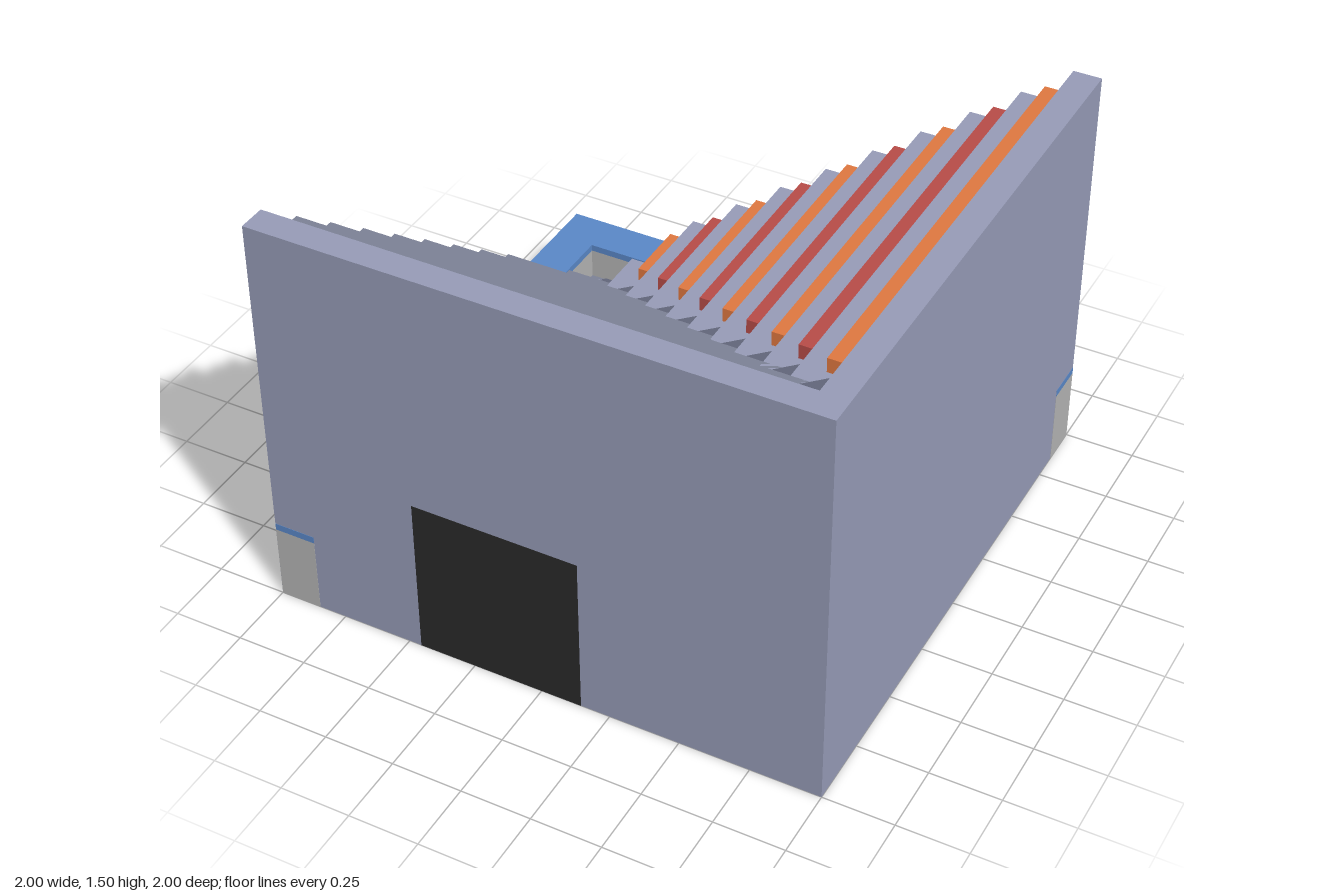
import * as THREE from 'three';

const mat = (color) => new THREE.MeshStandardMaterial({ color });

export function createModel() {
  const model = new THREE.Group();
  const light = mat(0x979cb8), shade = mat(0x7d8296), corner = mat(0x62667a);
  const orange = mat(0xe07840), red = mat(0xb84c48);
  const grey = mat(0xb4b4b4), blue = mat(0x5a88c8), dark = mat(0x2a2a2a);

  const add = (name, geometry, material) => {
    const mesh = new THREE.Mesh(geometry, material);
    mesh.name = name;
    model.add(mesh);
    return mesh;
  };
  // box given by its ranges on each axis
  const box = (name, material, x0, x1, y0, y1, z0, z1) =>
    add(name, new THREE.BoxGeometry(x1 - x0, y1 - y0, z1 - z0), material)
      .position.set((x0 + x1) / 2, (y0 + y1) / 2, (z0 + z1) / 2);

  const pitch = 0.1756, rise = 0.1333, rows = 11;
  const edge = (i) => 0.9 - pitch * i;           // riser behind row i (0 = highest)
  const tread = (i) => 1.5 - rise * (i + 1);

  // stepped profile shared by both stands
  const profile = new THREE.Shape();
  profile.moveTo(-1, 0);
  for (let i = rows - 1; i >= 0; i--) {
    profile.lineTo(Math.max(-1, edge(i + 1)), tread(i));
    profile.lineTo(edge(i), tread(i));
  }
  profile.lineTo(0.9, 0);
  profile.closePath();
  const stand = () => new THREE.ExtrudeGeometry(profile, { depth: 1.9, bevelEnabled: false });
  add('sideStand', stand().translate(0, 0, -1), light);
  add('frontStand', stand().rotateY(-Math.PI / 2).translate(0.9, 0, 0), shade);

  // outer walls
  box('sideWall', light, 0.9, 1, 0, 1.5, -1, 1);
  box('frontWall', light, -1, 0.9, 0, 1.5, 0.9, 1);

  // triangular landing at the inner corner of each row
  const triangle = new THREE.Shape([
    new THREE.Vector2(0, 0), new THREE.Vector2(-0.28, 0), new THREE.Vector2(0, -0.28),
  ]);
  const landing = new THREE.ExtrudeGeometry(triangle, { depth: 0.02, bevelEnabled: false })
    .rotateX(Math.PI / 2);

  // benches, alternating in colour
  for (let i = 0; i < rows - 1; i++) {
    const e = edge(i), y = tread(i), color = i % 2 ? red : orange;
    box('frontBench', color, -0.99, e - 0.06, y, y + 0.052, e - 0.09, e);
    box('sideBench', color, e - 0.09, e, y, y + 0.052, -0.99, e - 0.24);
    add('cornerLanding', landing, corner).position.set(e, y + 0.005, e);
  }

  // low L-shaped base with a coloured cap along the two open edges
  for (const [name, material, y0, y1] of [['base', grey, 0, 0.28], ['baseCap', blue, 0.28, 0.305]]) {
    box(name, material, -0.999, 1.001, y0, y1, -0.999, -0.85);
    box(name, material, -0.999, -0.85, y0, y1, -0.85, 1.001);
  }

  // dark entrance in the front wall
  box('entrance', dark, -0.455, 0.145, 0, 0.6, 0.95, 1.001);

  return model;
}
